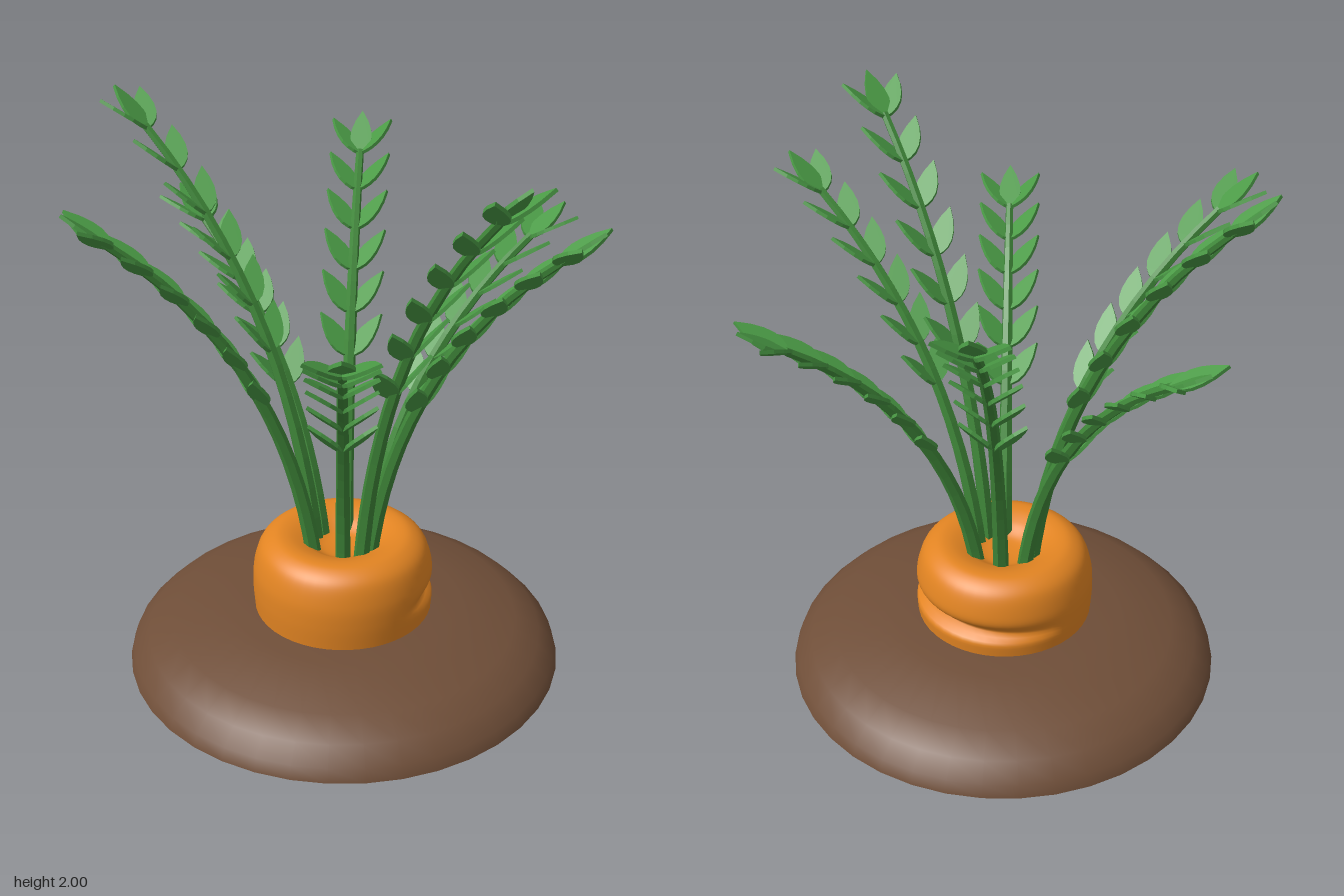
import * as THREE from 'three';
import { mergeVertices } from 'three/addons/utils/BufferGeometryUtils.js';

const mat = (name, color) => {
  const m = new THREE.MeshStandardMaterial({ color });
  m.name = name;
  return m;
};
const V = (x, y, z) => new THREE.Vector3(x, y, z);
const pts = (list) => list.map(([x, y]) => new THREE.Vector2(x, y));

export function createModel() {
  const soil = mat('soil brown', 0x6f4e38);
  const orange = mat('carrot orange', 0xe28422);
  const stemGreen = mat('stem green', 0x3f8739);
  const leafGreen = mat('leaf green', 0x4a9a45);

  const model = new THREE.Group();
  const add = (parent, name, geometry, material) => {
    const mesh = new THREE.Mesh(geometry, material);
    mesh.name = name;
    parent.add(mesh);
    return mesh;
  };

  // Low mound of earth with a flat underside
  const moundProfile = pts([[0.79, 0], [0.775, 0.045], [0.72, 0.1], [0.63, 0.15], [0.42, 0.2], [0.2, 0.205], [0, 0.205]]);
  add(model, 'soilMound', new THREE.LatheGeometry(moundProfile, 40), soil).position.set(-0.017, 0, 0.006);
  const base = add(model, 'soilUnderside', new THREE.CircleGeometry(0.79, 40), soil);
  base.rotation.x = Math.PI / 2;
  base.position.set(-0.017, 0, 0.006);

  // Carrot with its crown and fronds, slightly off the mound's centre
  const carrot = new THREE.Group();
  carrot.name = 'carrot';
  carrot.position.set(-0.03, 0, 0.016);
  model.add(carrot);

  // Crown: rounded shoulder, dished top, and a crease fading around its +x side
  const crownProfile = new THREE.SplineCurve(pts([
    [0.315, 0.12], [0.322, 0.2], [0.327, 0.29], [0.322, 0.37], [0.297, 0.445],
    [0.25, 0.482], [0.2, 0.486], [0.14, 0.465], [0.08, 0.43], [0, 0.42],
  ])).getPoints(70);
  let crown = new THREE.LatheGeometry(crownProfile, 48, -Math.PI / 2);
  crown.deleteAttribute('uv');
  crown.deleteAttribute('normal');
  const p = crown.attributes.position;
  for (let i = 0; i < p.count; i++) {
    const x = p.getX(i), y = p.getY(i), z = p.getZ(i), r = Math.hypot(x, z);
    if (r < 0.29) continue;
    const fade = Math.pow(Math.max(0, x / r), 0.8);
    const d = y - 0.285;
    const k = 1 - (0.05 * fade * Math.exp(-Math.pow(d / (d > 0 ? 0.035 : 0.018), 2))) / r;
    p.setXYZ(i, x * k, y, z * k);
  }
  crown = mergeVertices(crown, 1e-5);
  crown.computeVertexNormals();
  add(carrot, 'carrotCrown', crown, orange);

  // Leaf blade growing along +y from its base, facing +z
  const blade = new THREE.Shape();
  blade.moveTo(0, 0);
  blade.bezierCurveTo(0.045, 0.03, 0.06, 0.09, 0, 0.19);
  blade.bezierCurveTo(-0.06, 0.09, -0.045, 0.03, 0, 0);
  const leafGeometry = new THREE.ExtrudeGeometry(blade, { depth: 0.012, bevelEnabled: false, curveSegments: 6 });
  leafGeometry.translate(0, 0, -0.006);

  const addLeaf = (parent, name, at, dir, facing) => {
    const x = V(0, 0, 0).crossVectors(dir, facing).normalize();
    const z = V(0, 0, 0).crossVectors(x, dir).normalize();
    const leaf = add(parent, name, leafGeometry, leafGreen);
    leaf.quaternion.setFromRotationMatrix(new THREE.Matrix4().makeBasis(x, dir, z));
    leaf.position.copy(at);
  };

  // Tapering six-sided stalk with pairs of twisted leaves and one leaf at the tip
  const addFrond = (dx, dz, height) => {
    const frond = new THREE.Group();
    frond.name = 'frond';
    const out = V(dx, 0, dz).normalize();
    const at = (r, y) => out.clone().multiplyScalar(r).setY(y);
    const curve = new THREE.QuadraticBezierCurve3(
      at(0.11, 0.4), at(0.21, 0.4 + 0.56 * (height - 0.35)), at(0.77, height - 0.13));

    const rings = 14, sides = 6;
    let tube = new THREE.TubeGeometry(curve, rings, 0.029, sides);
    const tp = tube.attributes.position, q = V(0, 0, 0);
    for (let i = 0; i <= rings; i++) {
      const c = curve.getPointAt(i / rings);
      for (let j = 0; j <= sides; j++) {
        const n = i * (sides + 1) + j;
        q.fromBufferAttribute(tp, n).sub(c).multiplyScalar(1 - 0.5 * i / rings).add(c);
        tp.setXYZ(n, q.x, q.y, q.z);
      }
    }
    tube = tube.toNonIndexed();
    tube.computeVertexNormals();
    add(frond, 'stalk', tube, stemGreen);

    const side = V(-out.z, 0, out.x);
    const pairs = 6, spread = 0.62, twist = 0.65;
    for (let i = 0; i < pairs; i++) {
      const u = 0.46 + 0.53 * i / (pairs - 1);
      const pos = curve.getPointAt(u), t = curve.getTangentAt(u);
      const up = V(0, 0, 0).crossVectors(side, t);
      if (up.y < 0) up.negate();
      for (const s of [-1, 1]) {
        const across = side.clone().multiplyScalar(s);
        const dir = t.clone().multiplyScalar(Math.cos(spread)).addScaledVector(across, Math.sin(spread));
        const edge = t.clone().multiplyScalar(Math.sin(spread)).addScaledVector(across, -Math.cos(spread));
        const facing = up.clone().multiplyScalar(Math.cos(twist)).addScaledVector(edge, Math.sin(twist));
        addLeaf(frond, 'sideLeaf', pos, dir, facing);
      }
      if (i === pairs - 1) addLeaf(frond, 'tipLeaf', pos, t, up);
    }
    carrot.add(frond);
  };

  // Fronds: outward direction (x, z) and tip height
  [
    [-0.3, -0.84, 2.0], [0, -0.9, 1.6], [0.65, -0.63, 1.8], [0.9, 0.17, 1.6],
    [0.25, 0.86, 1.8], [-0.1, 0.88, 2.0], [-0.58, 0.66, 1.6], [-0.84, -0.31, 1.8],
  ].forEach(([x, z, h]) => addFrond(x, z, h));

  return model;
}
